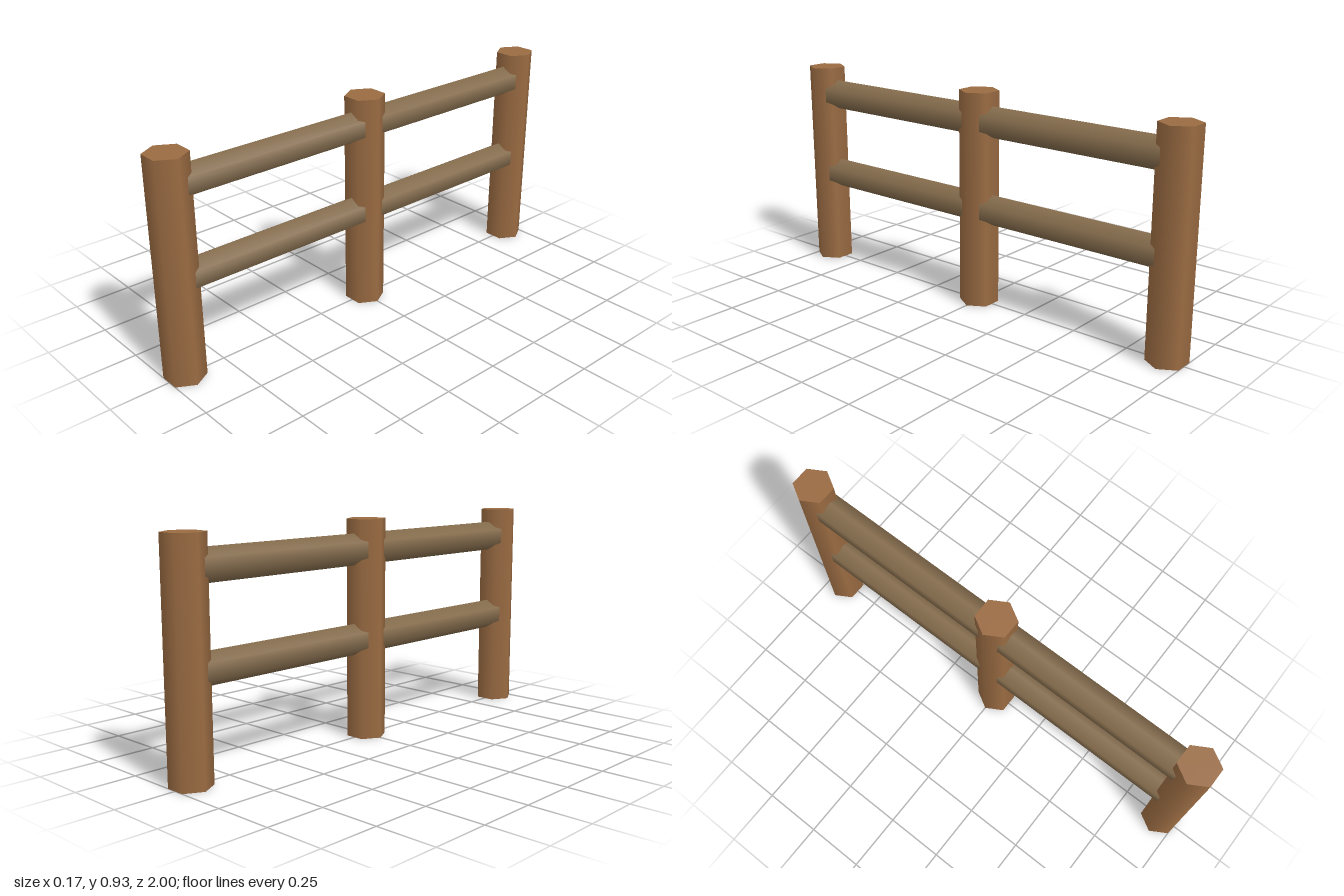
import * as THREE from 'three';

// Three-post fence running along z, with two rails in each bay
export function createModel() {
  const postWood = new THREE.MeshStandardMaterial({ color: 0x9a6b42 });
  postWood.name = 'postWood';
  const railWood = new THREE.MeshStandardMaterial({ color: 0x866d4d });
  railWood.name = 'railWood';

  const height = 0.926, postRadius = 0.084, railRadius = 0.066;
  const spacing = 1 - postRadius * Math.cos(Math.PI / 6);
  const fence = new THREE.Group();
  fence.name = 'fence';

  const add = (name, geometry, material, y, z) => {
    const mesh = new THREE.Mesh(geometry, material);
    mesh.name = name;
    mesh.position.set(0, y, z);
    fence.add(mesh);
  };

  // Hexagonal posts with corners pointing sideways
  const postShape = new THREE.CylinderGeometry(postRadius, postRadius, height, 6).rotateY(Math.PI / 2);
  [['frontPost', 1], ['middlePost', 0], ['backPost', -1]].forEach(([name, side]) =>
    add(name, postShape, postWood, height / 2, side * spacing));

  // Hexagonal rails with a corner on top, their ends buried in the posts
  const railShape = new THREE.CylinderGeometry(railRadius, railRadius, spacing, 6).rotateX(Math.PI / 2);
  [['upper', 0.801], ['lower', 0.424]].forEach(([level, y]) => {
    add(level + 'FrontRail', railShape, railWood, y, spacing / 2);
    add(level + 'BackRail', railShape, railWood, y, -spacing / 2);
  });

  return fence;
}
